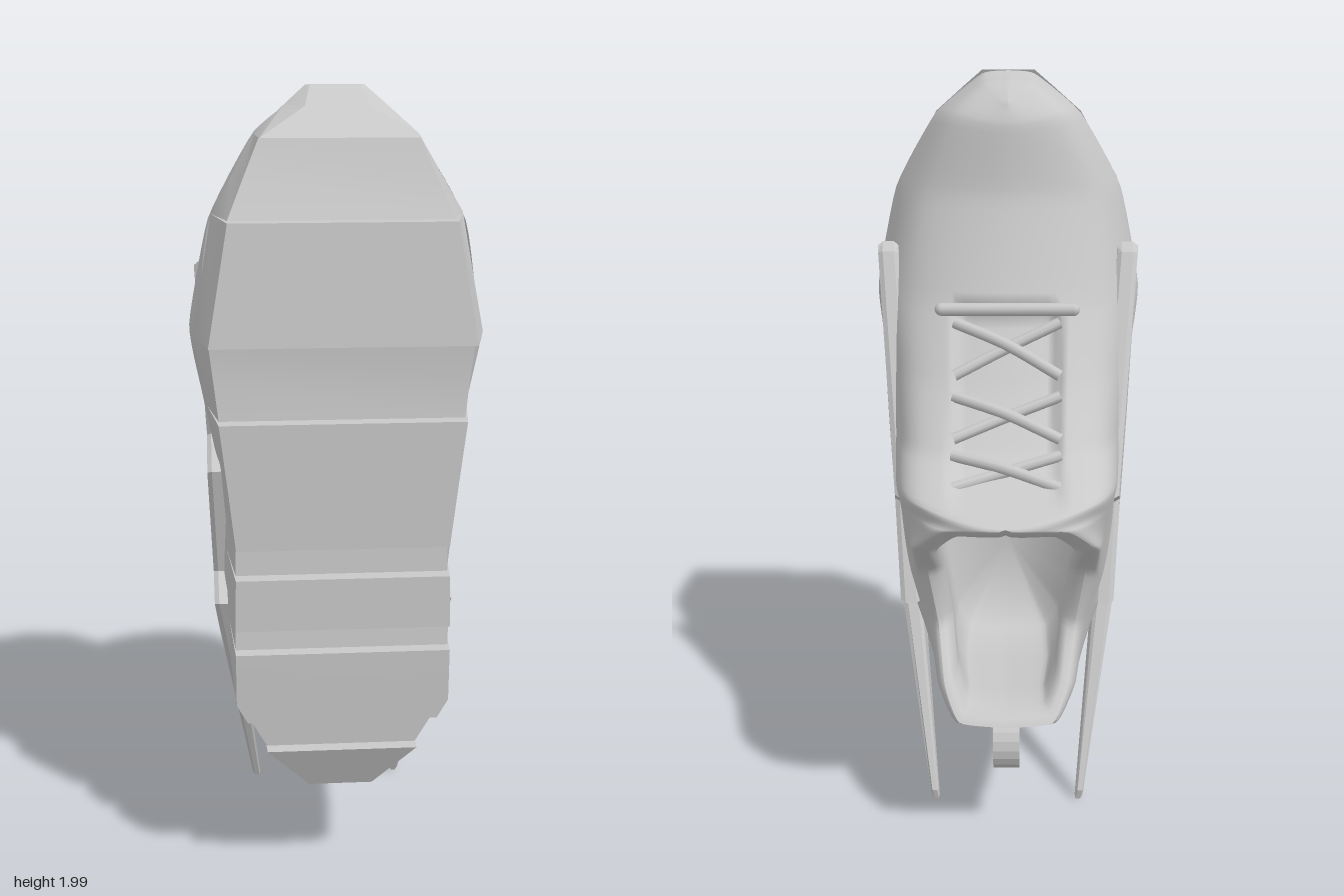
import * as THREE from 'three';
import { mergeGeometries, mergeVertices, toCreasedNormals } from 'three/addons/utils/BufferGeometryUtils.js';

const V = (x, y, z) => new THREE.Vector3(x, y, z);
const { lerp, smoothstep } = THREE.MathUtils;

// Skin a list of equally long rows of points
function loft(rows, closed = false) {
  const n = rows[0].length, index = [];
  for (let i = 0; i < rows.length - 1; i++) {
    for (let k = 0; k < (closed ? n : n - 1); k++) {
      const a0 = i * n + k, a1 = i * n + (k + 1) % n, b0 = a0 + n, b1 = a1 + n;
      index.push(a1, b1, b0, a1, b0, a0);
    }
  }
  const g = new THREE.BufferGeometry().setFromPoints(rows.flat());
  g.setIndex(index);
  return g;
}

// Linear lookup in a table whose first column falls
function lookup(table, y, col) {
  let i = 0;
  while (i < table.length - 2 && y < table[i + 1][0]) i++;
  const a = table[i], b = table[i + 1];
  return lerp(a[col], b[col], THREE.MathUtils.clamp((a[0] - y) / (a[0] - b[0]), 0, 1));
}

// Stations from toe to heel: sole edge (y, x, z), side bulge x, shoulder (y, x, z), ridge or collar rim (y, x, z)
const STATIONS = [
  [2.0, 0, .24, 0, 1.975, 0, .13, 1.93, 0, .07],
  [1.99, .07, .24, .07, 1.965, .06, .13, 1.92, 0, .065],
  [1.89, .19, .28, .19, 1.89, .14, .09, 1.87, 0, .045],
  [1.69, .305, .33, .30, 1.69, .22, .09, 1.69, 0, .03],
  [1.43, .335, .37, .355, 1.43, .25, 0, 1.43, 0, -.07],
  [1.25, .31, .345, .33, 1.25, .24, -.12, 1.23, 0, -.2],
  [1.08, .275, .32, .305, 1.1, .23, -.26, 1.09, 0, -.33],
  [.98, .265, .31, .295, 1.02, .225, -.42, .99, 0, -.53],
  [.90, .265, .305, .29, .97, .245, -.36, .97, .15, -.492],
  [.80, .265, .295, .29, .86, .25, -.26, .90, .215, -.42],
  [.68, .265, .285, .285, .7, .25, -.12, .77, .205, -.25],
  [.54, .26, .26, .265, .58, .22, -.12, .6, .18, -.215],
  [.41, .195, .235, .2, .42, .19, -.12, .48, .16, -.33],
  [.30, .085, .21, .1, .335, .12, -.12, .41, .12, -.40],
  [.27, 0, .2, 0, .315, 0, -.1, .40, 0, -.41],
];
const RIM_START = 7, STEPS = 6, ACROSS = 45;

// Half of the upper, as rows running from ridge or rim out to the sole edge
function upperRows() {
  const sections = STATIONS.map(([yS, xS, zS, xB, yH, xH, zH, yT, xT, zT], i) => [
    V(xS, yS, zS),
    V(xB, lerp(yS, yH, .45), lerp(zS, zH, .45)),
    V(xH, yH, zH),
    V(xT, yT, zT),
    i <= RIM_START ? V(-xH, yH, zH) : V(xT - .08, yT, zT + .02),
  ]);
  const rails = [0, 1, 2, 3, 4].map(k =>
    new THREE.CatmullRomCurve3(sections.map(s => s[k]), false, 'catmullrom', .25));
  const count = (STATIONS.length - 1) * STEPS, rows = [];
  for (let i = 0; i <= count; i++) {
    const curve = new THREE.CatmullRomCurve3(rails.map(r => r.getPoint(i / count)));
    const row = [];
    for (let j = ACROSS; j >= 0; j--) {
      const p = curve.getPoint(.75 * j / ACROSS);
      p.x = Math.max(0, p.x);
      if (i <= RIM_START * STEPS && j === ACROSS) p.x = 0;
      // sunken tongue between the lace edges
      if (i < RIM_START * STEPS && p.z < .1) {
        p.z += .045 * (1 - smoothstep(p.x, .12, .138)) * smoothstep(p.y, 1.01, 1.05) * (1 - smoothstep(p.y, 1.4, 1.43));
      }
      row.push(p);
    }
    rows.push(row);
  }
  return rows;
}

const mirrorX = p => V(-p.x, p.y, p.z);

function upperGeometry(rows) {
  const other = rows.map(r => r.map(mirrorX).reverse());
  const g = mergeVertices(mergeGeometries([loft(rows), loft(other)]), 1e-4);
  g.computeVertexNormals();
  return g;
}

// Foot cavity, sinking from the thick collar rim
function cavityGeometry(rows) {
  const half = rows.slice(RIM_START * STEPS).map(r => r[0]);
  const rim = [...half, ...half.slice(1, -1).reverse().map(mirrorX)];
  const levels = [[1, 1, 0], [.9, .94, .02], [.8, .88, .08], [.8, .88, .25], [.92, .92, .6], [.9, .95, 1], [0, 0, 1]];
  const g = loft(levels.map(([sx, sy, d]) =>
    rim.map(p => V(p.x * sx, .7 + (p.y - .7) * sy, lerp(p.z, .17, d)))), true);
  g.computeVertexNormals();
  return g;
}

// Sole plan: y, top half width, top z, tread half width
const SOLE_PLAN = [
  [2.0, .07, .235, .06], [1.955, .122, .255, .075], [1.89, .195, .285, .185], [1.69, .31, .33, .27],
  [1.43, .347, .37, .31], [1.08, .287, .32, .27], [.94, .277, .31, .255], [.73, .277, .285, .26],
  [.54, .272, .26, .26], [.41, .205, .235, .19], [.28, .09, .21, .08], [.26, .07, .2, .07],
];
// Tread profile with lugs and grooves: y, z
const TREAD = [
  [2.0, .245], [1.955, .315], [1.89, .42], [1.89, .385], [1.8, .415], [1.71, .46], [1.71, .505], [1.43, .535],
  [1.43, .49], [1.34, .485], [1.25, .495], [1.25, .535], [1.08, .533], [.94, .53], [.94, .488], [.865, .492],
  [.865, .53], [.735, .53], [.735, .495], [.675, .5], [.675, .535], [.54, .528], [.49, .525],
  [.49, .485], [.405, .48], [.405, .515], [.28, .455], [.26, .21],
];

function soleGeometry() {
  const rows = TREAD.map(([y, z]) => {
    const [wt, zt, wb] = [1, 2, 3].map(c => lookup(SOLE_PLAN, y, c));
    return [V(wt, y, zt), V(wb, y, z), V(-wb, y, z), V(-wt, y, zt)];
  });
  const first = rows[0], last = rows[rows.length - 1];
  const centre = r => r.map(() => V(0, r[0].y, (r[0].z + r[1].z) / 2));
  return toCreasedNormals(loft([centre(first), ...rows, centre(last)], true), .4);
}

// Zigzag side bolt: outline in (z, y), bent to follow the side
const BOLT = [
  [.11, 1.56], [.06, 1.1], [.225, 1.045], [.14, .745], [.235, .69], [-.10, .015],
  [-.105, .04], [.085, .555], [-.095, .615], [-.01, .88], [-.155, .94], [.09, 1.54],
];
const BOLT_X = [[1.57, .345], [1.3, .345], [1.04, .322], [.6, .308], [0, .21]];

function boltGeometry() {
  const shape = new THREE.Shape(BOLT.map(([z, y]) => new THREE.Vector2(-z, y)));
  const g = new THREE.ExtrudeGeometry(shape, {
    depth: .03, bevelEnabled: true, bevelSize: .008, bevelThickness: .012, bevelOffset: -.004, bevelSegments: 1,
  });
  g.rotateY(Math.PI / 2);
  const p = g.attributes.position;
  for (let i = 0; i < p.count; i++) {
    const y = p.getY(i), z = p.getZ(i);
    const thin = lerp(.4, 1, smoothstep(y, 0, .6));
    const outer = lookup(BOLT_X, y, 1) - Math.max(0, .1 - z) * .1 * smoothstep(y, .3, .6);
    p.setX(i, outer + (p.getX(i) - .042) * thin);
  }
  g.computeVertexNormals();
  return g;
}

export function createModel() {
  const model = new THREE.Group();
  model.name = 'shoe';
  const grey = new THREE.MeshStandardMaterial({ color: 0xc8c8c8, side: THREE.DoubleSide });
  grey.name = 'grey';
  const add = (name, geometry, parent = model) => {
    const mesh = new THREE.Mesh(geometry, grey);
    mesh.name = name;
    parent.add(mesh);
    return mesh;
  };

  const rows = upperRows();
  add('upper', upperGeometry(rows));
  add('footCavity', cavityGeometry(rows));
  add('sole', soleGeometry());

  // Side bolts
  const bolt = boltGeometry();
  add('leftBolt', bolt);
  add('rightBolt', bolt).scale.x = -1;

  // Crossed laces lying in the sunken tongue
  const laces = new THREE.Group();
  laces.name = 'laces';
  model.add(laces);
  const onTongue = (x, z, lift) => {
    const d = -.07 - z;
    return V(x, 1.43 - 1.769 * d + 1.775 * d * d + lift * .6, z - lift * .8);
  };
  for (const z of [-.345, -.235, -.125]) {
    for (const s of [-1, 1]) {
      const path = new THREE.CatmullRomCurve3([
        onTongue(-s * .135, z - .042, -.012),
        onTongue(0, z, s > 0 ? .006 : -.014),
        onTongue(s * .135, z + .035, -.012),
      ]);
      add('crossedLace', new THREE.TubeGeometry(path, 10, .015, 8), laces);
    }
  }
  const bar = add('laceBar', new THREE.CapsuleGeometry(.017, .34, 4, 10), laces);
  bar.rotation.z = Math.PI / 2;
  bar.position.set(0, 1.42, -.068);

  // Heel pull loop
  const ring = new THREE.Shape().absarc(0, 0, .073, 0, Math.PI * 2);
  ring.holes.push(new THREE.Path().absarc(0, 0, .054, 0, Math.PI * 2, true));
  const loop = add('heelLoop', new THREE.ExtrudeGeometry(ring, { depth: .07, bevelEnabled: false, curveSegments: 10 })
    .translate(0, 0, -.035).rotateY(Math.PI / 2).scale(1, 1.12, 1));
  loop.position.set(0, .283, -.247);

  return model;
}
